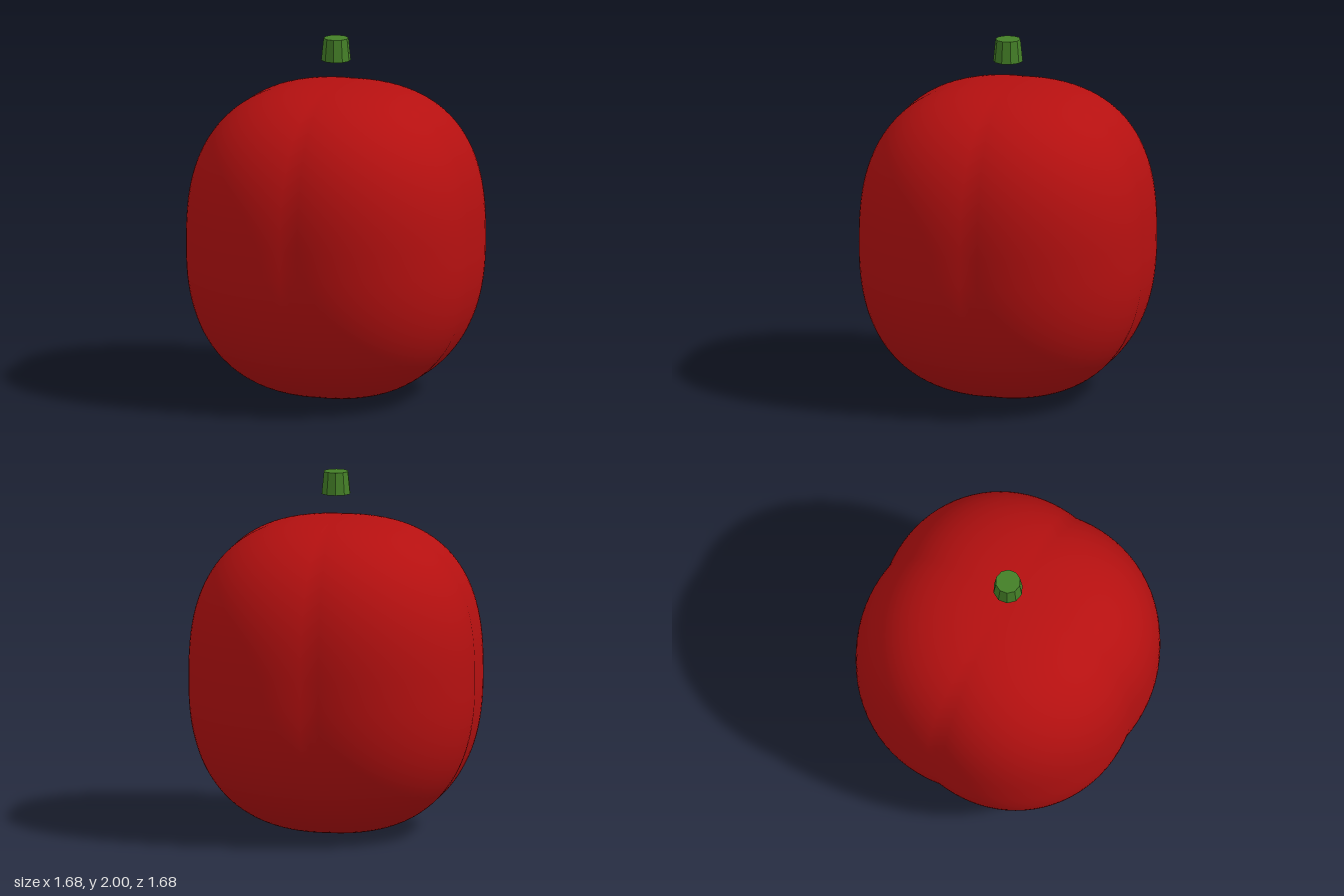
import * as THREE from 'three';
import { mergeVertices } from 'three/addons/utils/BufferGeometryUtils.js';

const skinRed = new THREE.MeshStandardMaterial({ color: 0xb51010 });
skinRed.name = 'skinRed';
const stemGreen = new THREE.MeshStandardMaterial({ color: 0x447f27 });
stemGreen.name = 'stemGreen';

// Squarish round body with four lobes meeting in creases on the diagonals
function bodyGeometry() {
  const midY = 0.872, halfHeight = 0.867, creaseRadius = 0.78, lobeDepth = 0.062;
  const geo = new THREE.SphereGeometry(1, 96, 64);
  const pos = geo.attributes.position;
  for (let i = 0; i < pos.count; i++) {
    const x = pos.getX(i), y = pos.getY(i), z = pos.getZ(i);
    const angle = Math.atan2(z, x);
    const power = 2 / (y > 0 ? 2.6 : 2.45); // shoulders fuller than the base
    const ring = Math.pow(Math.hypot(x, z), power);
    const radius = ring * (creaseRadius + lobeDepth * Math.abs(Math.cos(2 * angle)));
    pos.setXYZ(
      i,
      Math.cos(angle) * radius,
      midY + Math.sign(y) * Math.pow(Math.abs(y), power) * halfHeight,
      Math.sin(angle) * radius
    );
  }
  // Weld the seam so the shading runs smoothly all the way round
  geo.deleteAttribute('normal');
  geo.deleteAttribute('uv');
  const welded = mergeVertices(geo, 1e-4);
  welded.computeVertexNormals();
  return welded;
}

export function createModel() {
  const model = new THREE.Group();
  model.name = 'pepper';

  const body = new THREE.Mesh(bodyGeometry(), skinRed);
  body.name = 'body';

  // Ten-sided tapered stem, hovering just above the body
  const stemGeo = new THREE.CylinderGeometry(0.069, 0.082, 0.124, 10).toNonIndexed();
  stemGeo.computeVertexNormals(); // one normal per face keeps the sides faceted
  const stem = new THREE.Mesh(stemGeo, stemGreen);
  stem.name = 'stem';
  stem.position.y = 1.938;

  model.add(body, stem);
  return model;
}
